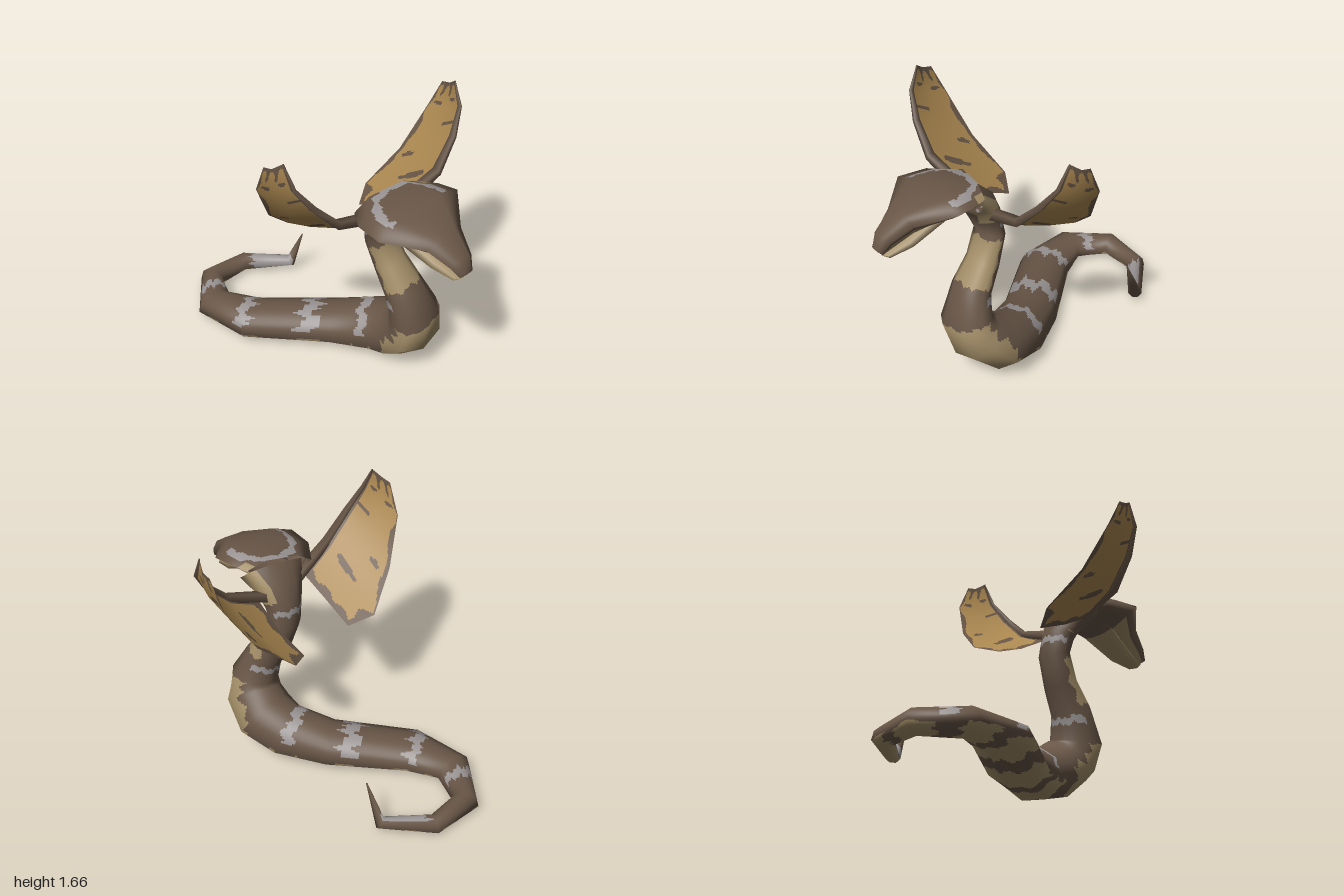
import * as THREE from 'three';

const flat = (name, color) => {
  const m = new THREE.MeshStandardMaterial({ color, side: THREE.DoubleSide });
  m.name = name;
  return m;
};
const BROWN = 0, TAN = 1, GREY = 2, GOLD = 3;
const materials = [
  flat('brown scales', 0x685647), flat('tan belly', 0xa38e68),
  flat('grey markings', 0x9a9594), flat('golden membrane', 0xab8850),
];
const V = (a) => new THREE.Vector3(...a);

// Skin over rows of points; each coarse cell is split finely and coloured by rule(u, v, point)
function skin(name, rows, closed, rule, nu, nv) {
  const cols = rows[0].length, span = closed ? cols : cols - 1;
  const id = (i, j) => i * cols + (j % cols);
  const coarse = new THREE.BufferGeometry().setFromPoints(rows.flat());
  const index = [];
  for (let i = 0; i < rows.length - 1; i++) {
    for (let j = 0; j < span; j++) {
      index.push(id(i, j), id(i, j + 1), id(i + 1, j + 1), id(i, j), id(i + 1, j + 1), id(i + 1, j));
    }
  }
  coarse.setIndex(index);
  coarse.computeVertexNormals();
  const sample = (attr, i, j, s, t) => {
    const at = (a, b) => new THREE.Vector3().fromBufferAttribute(attr, id(a, b));
    return at(i, j).lerp(at(i, j + 1), t).lerp(at(i + 1, j).lerp(at(i + 1, j + 1), t), s);
  };
  const { position, normal } = coarse.attributes;
  const buckets = materials.map(() => ({ p: [], n: [] }));
  for (let i = 0; i < rows.length - 1; i++) {
    for (let j = 0; j < span; j++) {
      for (let a = 0; a < nu; a++) {
        for (let b = 0; b < nv; b++) {
          const s = (a + 0.5) / nu, t = (b + 0.5) / nv;
          const bucket = buckets[rule(i + s, j + t, sample(position, i, j, s, t))];
          for (const [da, db] of [[0, 0], [0, 1], [1, 1], [0, 0], [1, 1], [1, 0]]) {
            const cs = (a + da) / nu, ct = (b + db) / nv;
            bucket.p.push(...sample(position, i, j, cs, ct));
            bucket.n.push(...sample(normal, i, j, cs, ct).normalize());
          }
        }
      }
    }
  }
  const geo = new THREE.BufferGeometry();
  let start = 0;
  buckets.forEach((b, m) => {
    if (b.p.length) geo.addGroup(start, b.p.length / 3, m);
    start += b.p.length / 3;
  });
  geo.setAttribute('position', new THREE.Float32BufferAttribute(buckets.flatMap((b) => b.p), 3));
  geo.setAttribute('normal', new THREE.Float32BufferAttribute(buckets.flatMap((b) => b.n), 3));
  const mesh = new THREE.Mesh(geo, materials);
  mesh.name = name;
  return mesh;
}

// Rings of a section swept along stations [centre, half width, half height, back direction]
function sweep(stations, section) {
  const c = stations.map((s) => V(s[0]));
  return stations.map(([, w, h, up], i) => {
    const t = c[Math.min(i + 1, c.length - 1)].clone().sub(c[Math.max(i - 1, 0)]).normalize();
    const d = V(up);
    d.addScaledVector(t, -d.dot(t)).normalize();
    const side = new THREE.Vector3().crossVectors(d, t);
    return section.map(([x, y]) => c[i].clone().addScaledVector(side, x * w).addScaledVector(d, y * h));
  });
}

// Flat-bellied body section and flat-topped head section, counterclockwise from the belly
const bodySection = [[0.42, -1], [1, -0.4], [0.8, 0.5], [0.3, 1], [-0.3, 1], [-0.8, 0.5], [-1, -0.4], [-0.42, -1]];
const headSection = [[0.35, -1], [0.75, -0.25], [1, 0.35], [0.5, 0.97], [-0.5, 0.97], [-1, 0.35], [-0.75, -0.25], [-0.35, -1]];
const square = [[1, -1], [1, 1], [-1, 1], [-1, -1]];

const UP = [0, 1, 0], BACK = [-0.1, 0, -1], ROLL = [-0.1, 1, 0];
const bodyStations = [
  [[0.26, 0.33, -0.59], 0.004, 0.004, [-0.7, 0, -0.7]],
  [[0.245, 0.075, -0.69], 0.042, 0.036, [-0.5, 0.7, -0.5]],
  [[0.02, 0.065, -0.915], 0.06, 0.055, UP],
  [[-0.25, 0.07, -0.925], 0.08, 0.065, UP],
  [[-0.41, 0.08, -0.7], 0.12, 0.073, UP],
  [[-0.345, 0.09, -0.42], 0.168, 0.085, UP],
  [[-0.02, 0.11, -0.02], 0.176, 0.108, UP],
  [[0.12, 0.15, 0.22], 0.19, 0.15, [-0.1, 1, -0.1]],
  [[0.15, 0.2, 0.38], 0.21, 0.155, [-0.15, 0.8, -0.5]],
  [[0.135, 0.3, 0.5], 0.2, 0.15, [-0.2, 0.4, -0.8]],
  [[0.095, 0.41, 0.535], 0.168, 0.135, [-0.2, 0.1, -1]],
  [[0.065, 0.585, 0.47], 0.13, 0.105, BACK],
  [[0.05, 0.73, 0.375], 0.11, 0.085, BACK],
  [[0.03, 0.9, 0.305], 0.11, 0.068, BACK],
  [[0.02, 1.02, 0.33], 0.125, 0.08, [0, 0.2, -1]],
  [[0.01, 1.12, 0.37], 0.17, 0.08, [-0.05, 0.5, -0.8]],
  [[-0.01, 1.195, 0.45], 0.225, 0.08, [-0.07, 0.9, -0.4]],
];
const headStations = [
  [[-0.015, 1.195, 0.41], 0.215, 0.085, [-0.08, 1, -0.3]],
  [[-0.045, 1.21, 0.52], 0.28, 0.085, ROLL],
  [[-0.05, 1.215, 0.66], 0.3, 0.085, ROLL],
  [[-0.05, 1.155, 0.83], 0.132, 0.075, ROLL],
  [[-0.05, 1.085, 0.95], 0.078, 0.058, ROLL],
  [[-0.05, 1.03, 0.995], 0.05, 0.03, UP],
  [[-0.05, 1.025, 1.0], 0.001, 0.001, UP],
];
const jawStations = [
  [[-0.04, 1.175, 0.5], 0.13, 0.04, ROLL],
  [[-0.05, 1.14, 0.63], 0.125, 0.035, ROLL],
  [[-0.05, 1.035, 0.83], 0.08, 0.028, UP],
  [[-0.05, 1.0, 0.96], 0.05, 0.012, UP],
  [[-0.05, 0.995, 0.98], 0.001, 0.001, UP],
];

// Grey saddles across the back, tan belly broken by brown bands
const saddles = [[3.6, 0.13], [4.9, 0.12], [5.75, 0.1], [6.85, 0.12], [10.75, 0.13], [13.65, 0.13]];
const bellyBreaks = [[2.3, 2.6], [3.4, 3.8], [4.4, 4.7], [5.25, 5.6], [6.2, 6.5], [7.1, 7.8], [9.95, 11.15], [12.85, 14.2]];
function bodyColour(u, v) {
  const wave = 0.05 * Math.sin(v * 5) + 0.035 * Math.sin(v * 11 + u);
  const fromBelly = Math.min(v, 7 - v);
  if (u > 0.85 && u < 1.85 + wave && v > 1 && v < 4.3) return GREY;
  if (fromBelly > 1.5 && saddles.some(([s, half]) => Math.abs(u - s + wave) < half)) return GREY;
  // The light throat shows on the left of the hood only
  if (u > 14.2) return v < 2.2 ? TAN : BROWN;
  const edge = (u > 8 ? 1.6 : 1) + 0.15 * Math.sin(u * 9);
  const broken = bellyBreaks.some(([a, b]) => u + wave > a && u + wave < b);
  return u > 1 && fromBelly < edge && !broken ? TAN : BROWN;
}

// Grey crescent on the crown, tan palate, lip and throat
function headColour(u, v, p) {
  const dz = p.z - 0.63;
  const ring = Math.hypot((p.x + 0.04) / 0.2, dz / 0.22);
  const rag = 0.03 * Math.sin(p.x * 60) + 0.02 * Math.sin(p.z * 90);
  if (v > 2 && v < 5 && dz < 0.03 && Math.abs(ring - 1 + rag) < 0.1) return GREY;
  if (u < 0.6) return v < 2.4 ? TAN : BROWN;
  const under = v < 1 || v > 6;
  return under && u > 2 ? TAN : BROWN;
}

// Wing leading and trailing edges, root to tip
const leading = [[0.18, 1.08, 0.38], [0.4, 1.2, 0.4], [0.55, 1.36, 0.38], [0.645, 1.5, 0.34], [0.66, 1.635, 0.28]];
const trailing = [[0.18, 0.885, 0], [0.32, 0.935, -0.08], [0.53, 1.13, 0], [0.675, 1.4, 0.08], [0.69, 1.58, 0.165]];

// Golden panel with a ragged brown border, dark flecks and streaks reaching in from the arm
function wingColour(u, v) {
  const rag = 0.07 * Math.sin(u * 7) + 0.05 * Math.sin(v * 9 + u * 3);
  if (u < 0.14 + rag || u > 3.65 + rag * 2 || v < 0.14 || v > 1.84 + rag) return BROWN;
  const flecks = [[1.05, 0.75, 0.28], [1.75, 1.4, 0.22], [2.5, 0.35, 0.4], [3.15, 1.5, 0.25], [3.3, 0.5, 0.3]];
  return flecks.some(([a, b, l]) => Math.hypot((u - a) / 0.08, (v - b) / l) < 1 + rag * 4) ? BROWN : GOLD;
}

function makeWing(name) {
  const wing = new THREE.Group();
  wing.name = name;
  const rows = leading.map((l, i) => {
    const a = V(l), b = V(trailing[i]);
    const mid = a.clone().lerp(b, 0.5).add(V([0.012, -0.015, 0]));
    return [a, mid, b];
  });
  wing.add(skin('wingMembrane', rows, false, wingColour, 20, 20));
  const spar = [[0.05, 1.06, 0.36], ...leading.slice(1)].map((p, i) => [p, 0.028 - i * 0.006, 0.028 - i * 0.006, [-0.5, 1, 0]]);
  wing.add(skin('wingArm', sweep(spar, square), true, () => BROWN, 1, 1));
  return wing;
}

export function createModel() {
  const model = new THREE.Group();
  model.name = 'wingedSerpent';
  model.add(
    skin('body', sweep(bodyStations, bodySection), true, bodyColour, 18, 9),
    skin('head', sweep(headStations, headSection), true, headColour, 16, 14),
    skin('lowerJaw', sweep(jawStations, bodySection), true, (u) => (u < 0.9 ? BROWN : TAN), 4, 1),
  );
  const left = makeWing('leftWing');
  const right = makeWing('rightWing');
  right.scale.x = -1;
  right.position.y = 0.025;
  model.add(left, right);
  return model;
}
